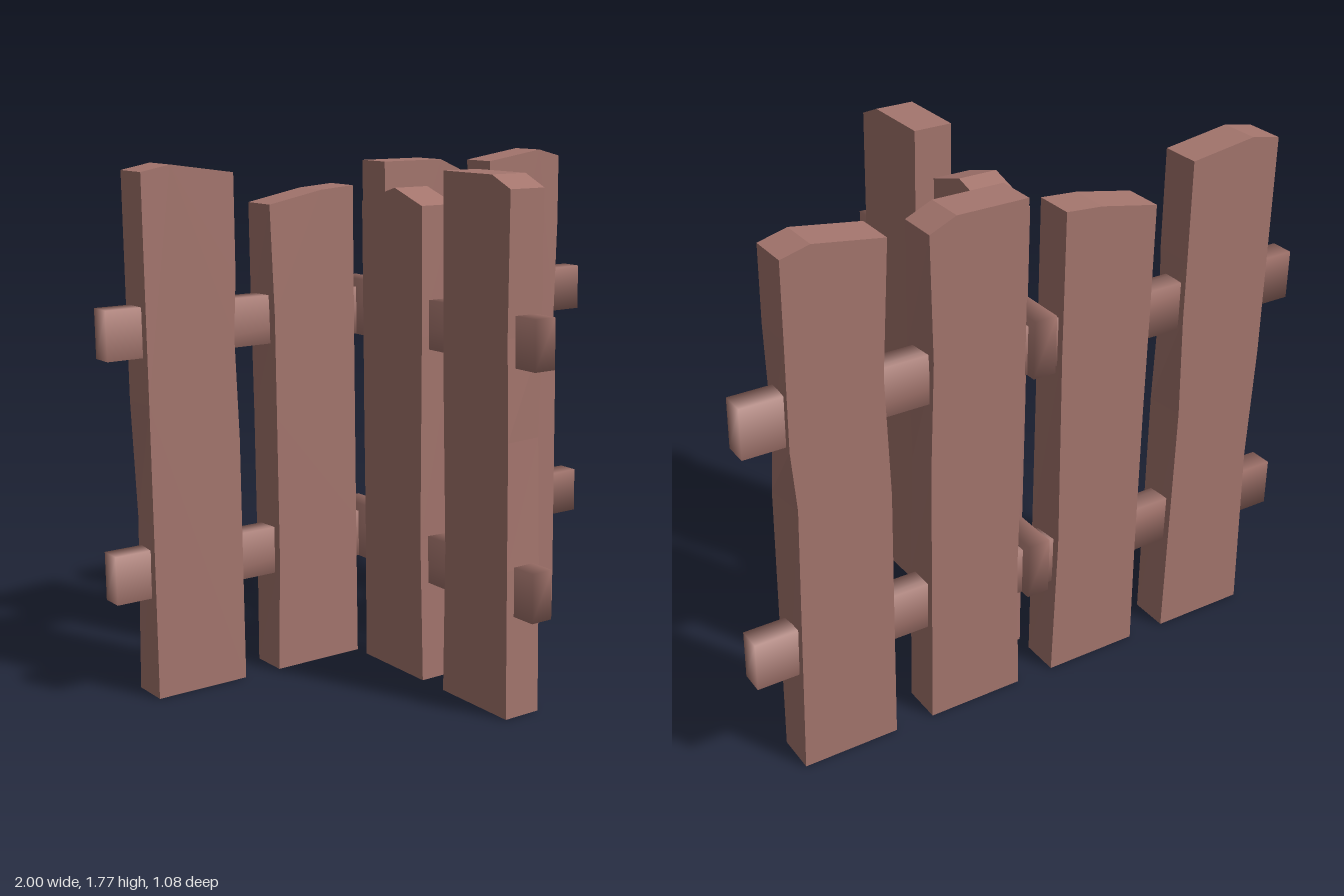
import * as THREE from 'three';
import { mergeVertices } from 'three/addons/utils/BufferGeometryUtils.js';

const wood = new THREE.MeshStandardMaterial({ color: 0xa5766e });
wood.name = 'reddish wood';
const THICK = 0.135;

// Plank from x0 to x1. top: [x, y] points from right to left.
// Nicks: [y, front inset, back inset] along each long edge, from the bottom up.
function plank(name, x0, x1, top, leftNicks, rightNicks) {
  const outline = [
    [x0, 0], [x1, 0],
    ...rightNicks.map(([y]) => [x1, y]),
    ...top,
    ...leftNicks.map(([y]) => [x0, y]).reverse(),
  ];
  // a hair of inset keeps collinear nick points in the cap triangulation
  const shape = new THREE.Shape(outline.map(([x, y]) => new THREE.Vector2(x, y)));
  const geo = new THREE.ExtrudeGeometry(shape, { depth: THICK, bevelEnabled: false });
  geo.translate(0, 0, -THICK / 2);
  const pos = geo.attributes.position;
  for (let i = 0; i < pos.count; i++) {
    const x = pos.getX(i), y = pos.getY(i), front = pos.getZ(i) > 0;
    const isLeft = Math.abs(x - x0) < 1e-4;
    const nick = (isLeft ? leftNicks : rightNicks).find((n) => Math.abs(n[0] - y) < 1e-4);
    if (nick && (isLeft || Math.abs(x - x1) < 1e-4)) {
      pos.setX(i, x + (isLeft ? 1 : -1) * (front ? nick[1] : nick[2]));
    }
  }
  geo.computeVertexNormals();
  const mesh = new THREE.Mesh(geo, wood);
  mesh.name = name;
  return mesh;
}

// Rail block with softly shaded corners
function rail(name, w, h, d, x, y, z) {
  const box = new THREE.BoxGeometry(w, h, d);
  box.deleteAttribute('normal');
  box.deleteAttribute('uv');
  const geo = mergeVertices(box);
  geo.computeVertexNormals();
  const mesh = new THREE.Mesh(geo, wood);
  mesh.name = name;
  mesh.position.set(x, y, z);
  return mesh;
}

export function createModel() {
  const model = new THREE.Group();
  model.name = 'fence';

  // Long back section
  const back = new THREE.Group();
  back.name = 'backSection';
  back.position.z = -0.4625;
  back.add(
    plank('backPlank1', -0.875, -0.54,
      [[-0.54, 1.737], [-0.77, 1.77], [-0.875, 1.75]],
      [[0.6, 0.001, 0.015], [1.0, 0.001, 0.001]],
      [[0.85, 0.001, 0.012], [1.2, 0.012, 0.001], [1.4, 0.001, 0.001]]),
    plank('backPlank2', -0.405, -0.07,
      [[-0.07, 1.675], [-0.2, 1.665], [-0.405, 1.625]],
      [[0.4, 0.012, 0.004], [0.9, 0.012, 0.004], [1.25, 0.012, 0.001]],
      [[0.5, 0.001, 0.012], [1.2, 0.001, 0.001]]),
    plank('backPlank3', 0.065, 0.4,
      [[0.4, 1.71], [0.31, 1.75], [0.065, 1.75]],
      [[0.5, 0.001, 0.012], [1.1, 0.001, 0.001]],
      [[0.5, 0.003, 0.001], [0.92, 0.016, 0.001], [1.3, 0.001, 0.012]]),
    plank('backPlank4', 0.535, 0.865,
      [[0.865, 1.745], [0.77, 1.77], [0.535, 1.735]],
      [[0.5, 0.002, 0.001], [0.9, 0.016, 0.001], [1.3, 0.001, 0.02]],
      [[0.95, 0.001, 0.018], [1.15, 0.014, 0.001], [1.5, 0.001, 0.001]]),
  );

  // Short section running forward; its local x points along -z
  const side = new THREE.Group();
  side.name = 'sideSection';
  side.position.x = -0.0025;
  side.rotation.y = Math.PI / 2;
  side.add(
    plank('sidePlank1', -0.45, -0.115,
      [[-0.115, 1.75], [-0.36, 1.75], [-0.45, 1.71]],
      [[0.5, 0.003, 0.001], [0.92, 0.014, 0.001], [1.25, 0.001, 0.008]],
      [[0.5, 0.001, 0.012], [1.1, 0.001, 0.001]]),
    plank('sidePlank2', 0, 0.34,
      [[0.34, 1.625], [0.15, 1.68], [0, 1.63]],
      [[0.5, 0.001, 0.012], [1.2, 0.001, 0.001]],
      [[0.4, 0.014, 0.004], [0.9, 0.009, 0.001], [1.25, 0.012, 0.001]]),
  );
  model.add(back, side);

  // Lower and upper rails
  for (const [label, y] of [['lower', 0.427], ['upper', 1.237]]) {
    model.add(
      rail(label + 'BackRail', 2, 0.165, 0.08, 0, y, -0.465),
      rail(label + 'SideRail', 0.08, 0.165, 0.84, 0, y, 0.12),
      rail(label + 'RailJoint', 0.08, 0.195, 0.24, 0, y + 0.014, -0.42),
    );
  }
  return model;
}
